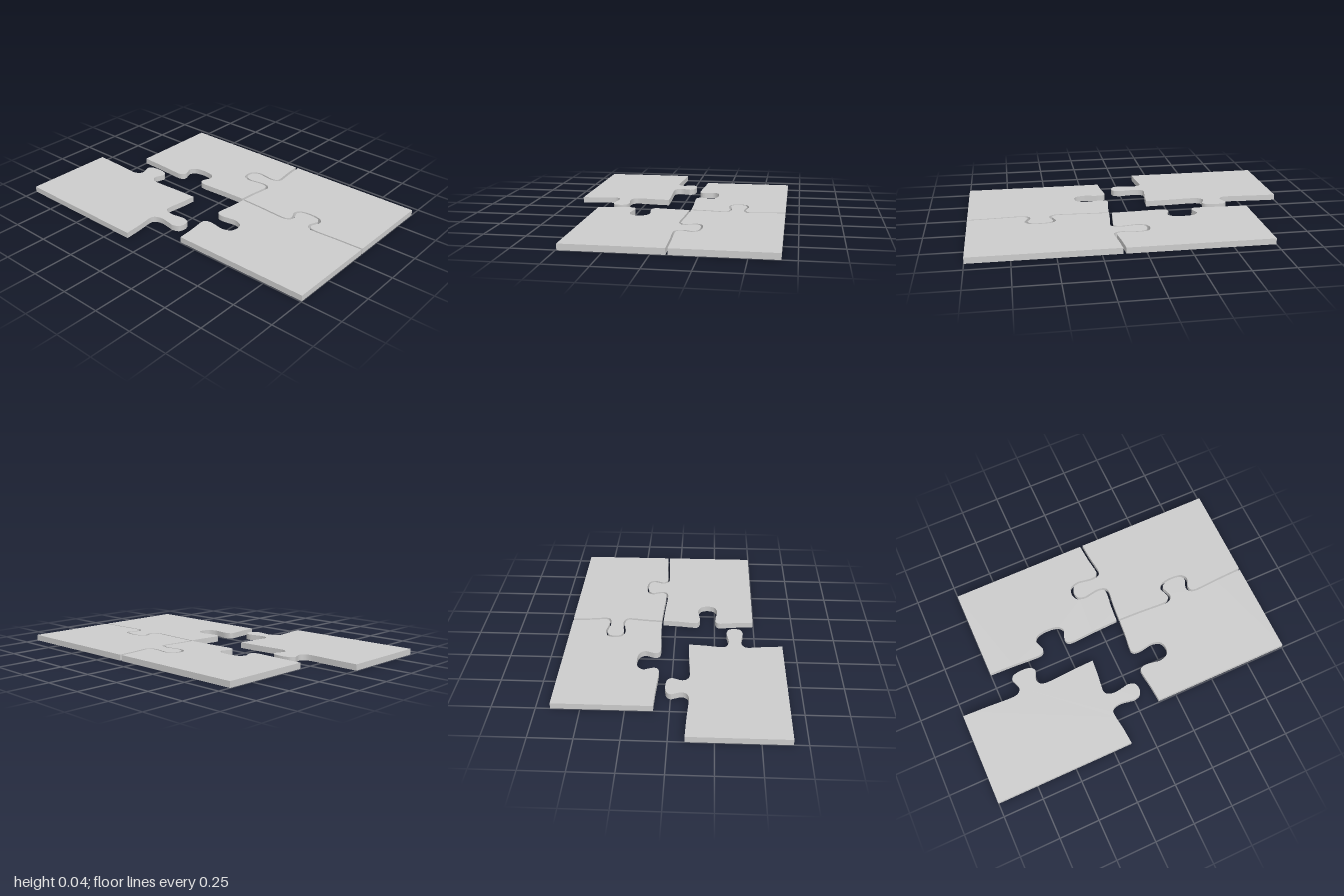
import * as THREE from 'three';
import { toCreasedNormals } from 'three/addons/utils/BufferGeometryUtils.js';

const THICKNESS = 0.036;
const GAP = 0.01; // half the seam gap, in piece units
const CELL_X = 0.875, CELL_Z = 0.581; // piece size
const CENTRE_X = 0.125, CENTRE_Z = -0.086; // where the four pieces meet

// Half of the knob edge: distance from the middle, and depth
const HALF_EDGE = [
  [54, 0], [35, -1], [18, -2.5], [12, -2.2], [9, 0.5], [8.2, 5],
  [9.6, 11], [10.6, 16], [8.2, 21], [4, 22.8], [0, 23.2],
].map(([s, d]) => [s / 108, d / 108]);

// Knob edge from s = 0 to s = 1, as a smooth run of [s, depth]
function knobEdge() {
  const left = HALF_EDGE.map(([s, d]) => new THREE.Vector2(0.5 - s, d));
  const right = HALF_EDGE.slice(0, -1).reverse().map(([s, d]) => new THREE.Vector2(0.5 + s, d));
  return new THREE.SplineCurve([...left, ...right]).getPoints(120);
}

// Shift a polyline sideways towards the body of the piece
function inset(points, towards) {
  const tangent = (i) => points[Math.min(i + 1, points.length - 1)].clone()
    .sub(points[Math.max(i - 1, 0)]).normalize();
  const t0 = tangent(0);
  const sign = Math.sign(-t0.y * towards.x + t0.x * towards.y);
  return points.map((p, i) => {
    const t = tangent(i);
    return new THREE.Vector2(p.x - t.y * sign * GAP, p.y + t.x * sign * GAP);
  });
}

// su, sv: which quadrant the piece fills (+u is right, +v is back)
function pieceGeometry(su, sv) {
  const edge = knobEdge();

  // Seam between back and front rows, knob pointing back
  const across = inset(
    edge.map((p) => new THREE.Vector2(su * (1 - p.x), p.y)),
    new THREE.Vector2(0, sv));
  // Seam between left and right columns, knob pointing away in opposite directions
  const along = inset(
    edge.map((p) => new THREE.Vector2(-sv * p.y, sv * p.x)),
    new THREE.Vector2(su, 0));

  across[0].x = su;
  across[across.length - 1].set(su * GAP, sv * GAP);
  along.shift();
  along[along.length - 1].y = sv;

  const outline = [new THREE.Vector2(su, sv), ...across, ...along].map((p) =>
    new THREE.Vector2(CENTRE_X + CELL_X * p.x, -CENTRE_Z + CELL_Z * p.y));

  const geometry = new THREE.ExtrudeGeometry(new THREE.Shape(outline), {
    depth: THICKNESS, bevelEnabled: false,
  });
  geometry.rotateX(-Math.PI / 2);
  return toCreasedNormals(geometry, 0.6);
}

export function createModel() {
  const group = new THREE.Group();
  group.name = 'jigsawPuzzle';
  const material = new THREE.MeshStandardMaterial({ color: 0xcccccc });

  const pieces = [
    ['backLeftPiece', -1, 1, 0, 0],
    ['backRightPiece', 1, 1, 0, 0],
    ['frontRightPiece', 1, -1, 0, 0],
    ['loosePiece', -1, -1, -0.25, 0.172], // pulled away from the rest
  ];
  for (const [name, su, sv, dx, dz] of pieces) {
    const mesh = new THREE.Mesh(pieceGeometry(su, sv), material);
    mesh.name = name;
    mesh.position.set(dx, 0, dz);
    group.add(mesh);
  }
  return group;
}
